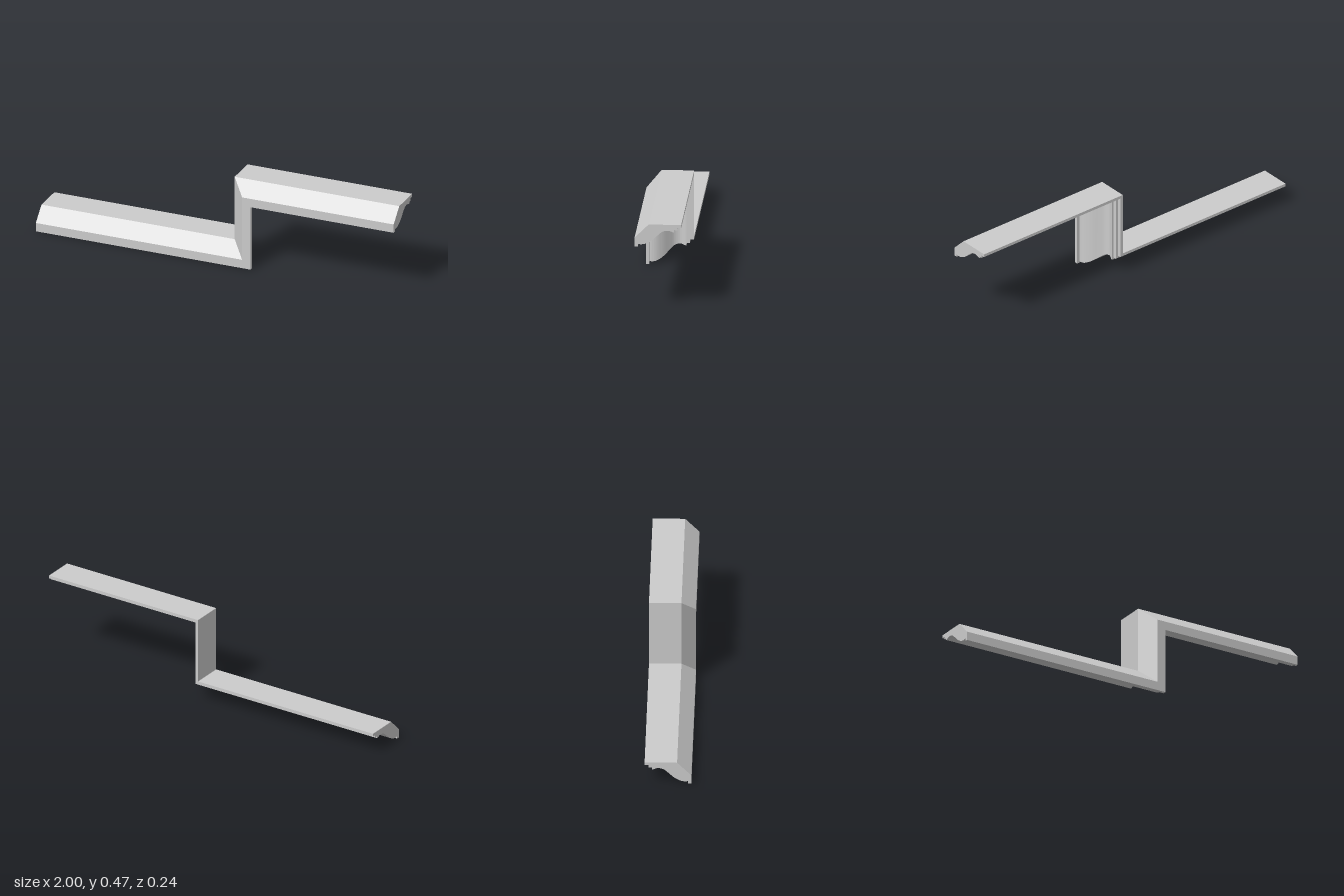
import * as THREE from 'three';
import { toCreasedNormals } from 'three/addons/utils/BufferGeometryUtils.js';

// Moulding profile as (u = -z, v = -depth below the back face), counter-clockwise
function makeProfile() {
  const ogee = new THREE.SplineCurve([
    [-0.103, -0.106], [-0.085, -0.108], [-0.06, -0.102], [-0.03, -0.084], [0, -0.057],
    [0.022, -0.039], [0.047, -0.032], [0.064, -0.035], [0.074, -0.039],
  ].map(([u, v]) => new THREE.Vector2(u, v))).getPoints(40);
  const corners = (list) => list.map(([u, v]) => new THREE.Vector2(u, v));
  return [
    ...corners([[-0.12, -0.12], [-0.103, -0.12]]),
    ...ogee,
    ...corners([[0.083, -0.04], [0.083, -0.03], [0.1, -0.03], [0.1, -0.016],
      [0.12, -0.016], [0.12, 0], [-0.047, 0], [-0.12, -0.073]]),
  ];
}

// Stations along the stepped path; depth shifts x and y so the corners are mitred
const stations = [
  { x: -1, y: 0.12, mitre: 0 },
  { x: 0.08, y: 0.12, mitre: 1 },
  { x: 0.08, y: 0.472, mitre: 1 },
  { x: 1, y: 0.472, mitre: 0 },
];

function makeRun(profile, from, to, capStart, capEnd) {
  const n = profile.length;
  const positions = [];
  const index = [];
  for (const s of [from, to]) {
    for (const p of profile) positions.push(s.x - p.y * s.mitre, s.y + p.y, -p.x);
  }
  for (let i = 0; i < n; i++) {
    const j = (i + 1) % n;
    index.push(i, j, n + j, i, n + j, n + i);
  }
  for (const [a, b, c] of THREE.ShapeUtils.triangulateShape(profile, [])) {
    if (capStart) index.push(a, c, b);
    if (capEnd) index.push(n + a, n + b, n + c);
  }
  const geometry = new THREE.BufferGeometry();
  geometry.setAttribute('position', new THREE.Float32BufferAttribute(positions, 3));
  geometry.setIndex(index);
  return toCreasedNormals(geometry, Math.PI / 7);
}

export function createModel() {
  const group = new THREE.Group();
  group.name = 'steppedMoulding';
  const material = new THREE.MeshStandardMaterial({ color: 0xcccccc });
  const profile = makeProfile();

  // Lower run, vertical riser and upper run share the same profile
  ['lowerRun', 'riser', 'upperRun'].forEach((name, i) => {
    const geometry = makeRun(profile, stations[i], stations[i + 1], i === 0, i === 2);
    const mesh = new THREE.Mesh(geometry, material);
    mesh.name = name;
    group.add(mesh);
  });
  return group;
}
